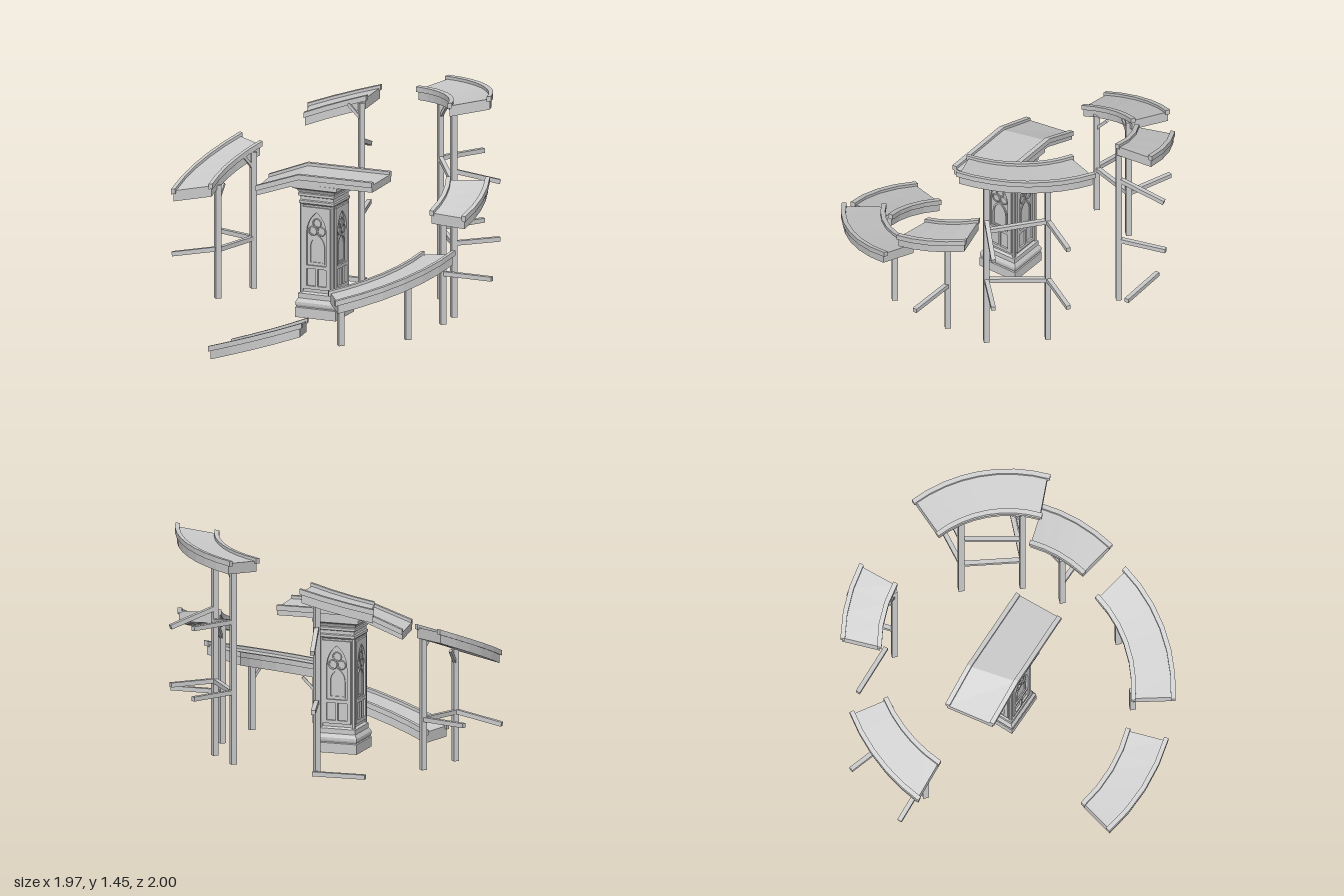
import * as THREE from 'three';

const material = new THREE.MeshStandardMaterial({ color: 0xcccccc, flatShading: true });
const V = (p) => new THREE.Vector3(...p);
const lerp = THREE.MathUtils.lerp;

function add(parent, geometry, name) {
  const mesh = new THREE.Mesh(geometry, material);
  mesh.name = name;
  parent.add(mesh);
  return mesh;
}

// Sweep a rectangle through stations [outer, inner]; s runs inner to outer, h is below the rail top.
function sweepRect(stations, span, top, bottom) {
  const rings = stations.map(([o, i]) => {
    const dir = o.clone().sub(i);
    const [s0, s1] = span(dir.length());
    dir.normalize();
    return [[s0, top], [s1, top], [s1, bottom], [s0, bottom]].map(([s, h]) => {
      const p = i.clone().addScaledVector(dir, s);
      p.y += h;
      return p;
    });
  });
  const pos = [];
  const quad = (a, b, c, d) => [a, b, c, a, c, d].forEach((p) => pos.push(p.x, p.y, p.z));
  for (let k = 0; k < rings.length - 1; k++) {
    for (let j = 0; j < 4; j++) {
      const n = (j + 1) % 4;
      quad(rings[k][j], rings[k][n], rings[k + 1][n], rings[k + 1][j]);
    }
  }
  const first = rings[0], last = rings[rings.length - 1];
  quad(first[3], first[2], first[1], first[0]);
  quad(last[0], last[1], last[2], last[3]);
  const g = new THREE.BufferGeometry();
  g.setAttribute('position', new THREE.Float32BufferAttribute(pos, 3));
  g.computeVertexNormals();
  return g;
}

// Deck slab with a raised rail along each edge.
function track(parent, name, stations, railStations = stations, depth = 0.083) {
  const group = new THREE.Group();
  group.name = name;
  add(group, sweepRect(stations, (w) => [0.01, w - 0.01], -0.018, -depth), 'deck');
  add(group, sweepRect(railStations, () => [0, 0.028], 0, -0.032), 'innerRail');
  add(group, sweepRect(railStations, (w) => [w - 0.028, w], 0, -0.032), 'outerRail');
  parent.add(group);
}

// Stations around the centre, interpolated in angle, radius and height.
function arc(o0, i0, o1, i1, n, extra = 0) {
  const point = (a, b, t) => {
    const angA = Math.atan2(a[2], a[0]);
    const ang = lerp(angA, Math.atan2(b[2], b[0]), t);
    const r = lerp(Math.hypot(a[0], a[2]), Math.hypot(b[0], b[2]), t);
    return new THREE.Vector3(r * Math.cos(ang), lerp(a[1], b[1], t), r * Math.sin(ang));
  };
  return Array.from({ length: n + 1 }, (_, k) => {
    const t = lerp(-extra, 1 + extra, k / n);
    return [point(o0, o1, t), point(i0, i1, t)];
  });
}

function beam(parent, a, b, name = 'beam', size = 0.027) {
  const p = V(a), q = V(b);
  const mesh = add(parent, new THREE.BoxGeometry(size, size, p.distanceTo(q)), name);
  mesh.position.copy(p).lerp(q, 0.5);
  mesh.lookAt(q);
}

// Upright post with a short diagonal brace along the track (side = +1 or -1).
function post(parent, x, z, top, side, bottom = 0.09) {
  const mesh = add(parent, new THREE.BoxGeometry(0.034, top - bottom, 0.034), 'post');
  mesh.position.set(x, (top + bottom) / 2, z);
  const r = Math.hypot(x, z), tx = (-z / r) * side * 0.08, tz = (x / r) * side * 0.08;
  beam(parent, [x, top - 0.1, z], [x + tx, top - 0.01, z + tz], 'brace', 0.018);
}

function pointedArch(target, w, y0, spring, apex) {
  target.moveTo(-w, y0);
  target.lineTo(w, y0);
  target.lineTo(w, spring);
  target.quadraticCurveTo(w, lerp(spring, apex, 0.65), 0, apex);
  target.quadraticCurveTo(-w, lerp(spring, apex, 0.65), -w, spring);
  target.closePath();
  return target;
}

function rect(target, x0, y0, x1, y1) {
  target.moveTo(x0, y0);
  target.lineTo(x1, y0);
  target.lineTo(x1, y1);
  target.lineTo(x0, y1);
  target.closePath();
  return target;
}

function column() {
  const group = new THREE.Group();
  group.name = 'column';
  // Square moulded shaft: half diagonal, height
  const profile = [[0, 0.09], [0.185, 0.09], [0.185, 0.15], [0.178, 0.155], [0.184, 0.168], [0.184, 0.183],
    [0.172, 0.2], [0.166, 0.205], [0.166, 0.235], [0.146, 0.245], [0.146, 0.775], [0.16, 0.785], [0.16, 0.8],
    [0.15, 0.805], [0.15, 0.825], [0.166, 0.83], [0.166, 0.845], [0.16, 0.85], [0.175, 0.87], [0.205, 0.88],
    [0.205, 0.905], [0, 0.905]].map(([x, y]) => new THREE.Vector2(x, y));
  const shaft = new THREE.LatheGeometry(profile, 4).toNonIndexed();
  shaft.computeVertexNormals();
  add(group, shaft, 'shaft');

  const frame = rect(new THREE.Shape(), -0.088, 0.265, 0.088, 0.765);
  frame.holes.push(pointedArch(new THREE.Path(), 0.064, 0.41, 0.6, 0.735));
  frame.holes.push(rect(new THREE.Path(), -0.064, 0.285, -0.007, 0.39));
  frame.holes.push(rect(new THREE.Path(), 0.007, 0.285, 0.064, 0.39));
  const frameGeometry = new THREE.ExtrudeGeometry(frame, { depth: 0.013, bevelEnabled: false, curveSegments: 8 });
  const leaf = pointedArch(new THREE.Shape(), 0.05, 0.42, 0.52, 0.6);
  leaf.holes.push(pointedArch(new THREE.Path(), 0.041, 0.43, 0.52, 0.587));
  const leafGeometry = new THREE.ExtrudeGeometry(leaf, { depth: 0.008, bevelEnabled: false, curveSegments: 6 });

  for (let k = 0; k < 4; k++) {
    const face = new THREE.Group();
    face.name = 'windowFace';
    face.rotation.y = Math.PI / 4 + (k * Math.PI) / 2;
    add(face, frameGeometry, 'windowFrame').position.z = 0.102;
    add(face, leafGeometry, 'innerArch').position.z = 0.102;
    // Trefoil tracery
    for (const [x, y] of [[-0.027, 0.62], [0.027, 0.62], [0, 0.668]]) {
      add(face, new THREE.TorusGeometry(0.025, 0.005, 5, 14), 'tracery').position.set(x, y, 0.106);
    }
    const corner = add(face, new THREE.CylinderGeometry(0.012, 0.012, 0.54, 8), 'cornerShaft');
    corner.position.set(0.1, 0.51, 0.1);
    group.add(face);
  }
  group.position.x = -0.09;
  return group;
}

export function createModel() {
  const model = new THREE.Group();
  model.name = 'spiralTrack';

  // Curved sections: outer start, inner start, outer end, inner end, segments
  const sections = [
    ['entrySection', [-0.98, 0.083, 0.45], [-0.77, 0.083, 0.32], [-0.57, 0.285, 0.88], [-0.44, 0.255, 0.65], 4],
    ['frontSection', [-0.36, 0.43, 0.97], [-0.315, 0.43, 0.71], [0.415, 0.63, 0.84], [0.28, 0.588, 0.625], 6],
    ['lowerLeftSection', [0.52, 0.82, 0.765], [0.37, 0.82, 0.555], [0.8, 0.945, 0.41], [0.57, 0.935, 0.285], 4],
    ['upperLeftSection', [0.8, 1.45, 0.44], [0.56, 1.4, 0.34], [0.835, 1.38, -0.36], [0.587, 1.355, -0.255], 8],
    ['backLeftSection', [0.54, 1.255, -0.755], [0.37, 1.245, -0.56], [0.16, 1.135, -0.945], [0.05, 1.135, -0.72], 3],
    ['backRightSection', [-0.275, 0.98, -0.975], [-0.22, 0.975, -0.735], [-0.8, 0.757, -0.685], [-0.605, 0.815, -0.505], 5],
  ];
  for (const [name, o0, i0, o1, i1, n] of sections) {
    track(model, name, arc(o0, i0, o1, i1, n), arc(o0, i0, o1, i1, n, 0.02));
  }

  // Straight bent section on top of the column
  track(model, 'centreSection', [
    [V([0.28, 0.965, 0.14]), V([0.07, 0.965, 0.37])],
    [V([-0.105, 0.965, -0.235]), V([-0.27, 0.965, 0.04])],
    [V([-0.285, 0.87, -0.405]), V([-0.47, 0.87, -0.15])],
  ], undefined, 0.062);
  model.add(column());

  // Posts: x, z, top, brace side
  const supports = new THREE.Group();
  supports.name = 'supports';
  model.add(supports);
  for (const p of [
    [0.63, 0.25, 1.32, -1, 0.07], [0.68, -0.11, 1.3, 1], [0.355, -0.58, 1.2, -1],
    [-0.55, -0.58, 0.78, 1], [-0.27, -0.73, 0.92, -1],
    [-0.255, 0.73, 0.38, -1], [0.165, 0.73, 0.49, 1], [0.485, 0.46, 0.82, -1],
  ]) post(supports, ...p);

  // Cross beams and outward stubs
  for (const [a, b] of [
    [[0.63, 0.52, 0.25], [0.68, 0.52, -0.11]],
    [[0.63, 0.88, 0.25], [0.68, 0.95, -0.11]],
    [[0.68, 0.525, -0.11], [0.98, 0.525, -0.19]],
    [[0.68, 0.95, -0.11], [0.98, 0.95, -0.19]],
    [[0.63, 0.96, 0.25], [0.92, 0.87, 0.25]],
    [[0.63, 0.52, 0.25], [0.92, 0.52, 0.25]],
    [[0.355, 0.525, -0.58], [0.5, 0.525, -0.84]],
    [[0.355, 0.97, -0.58], [0.5, 0.88, -0.83]],
    [[0.4, 0.105, -0.62], [0.16, 0.105, -0.84]],
    [[-0.55, 0.39, -0.58], [-0.76, 0.33, -0.78]],
    [[-0.55, 0.385, -0.58], [-0.27, 0.395, -0.73]],
    [[-0.27, 0.395, -0.73], [-0.41, 0.395, -1.0]],
    [[0.485, 0.4, 0.46], [0.71, 0.4, 0.69]],
  ]) beam(supports, a, b);

  return model;
}
